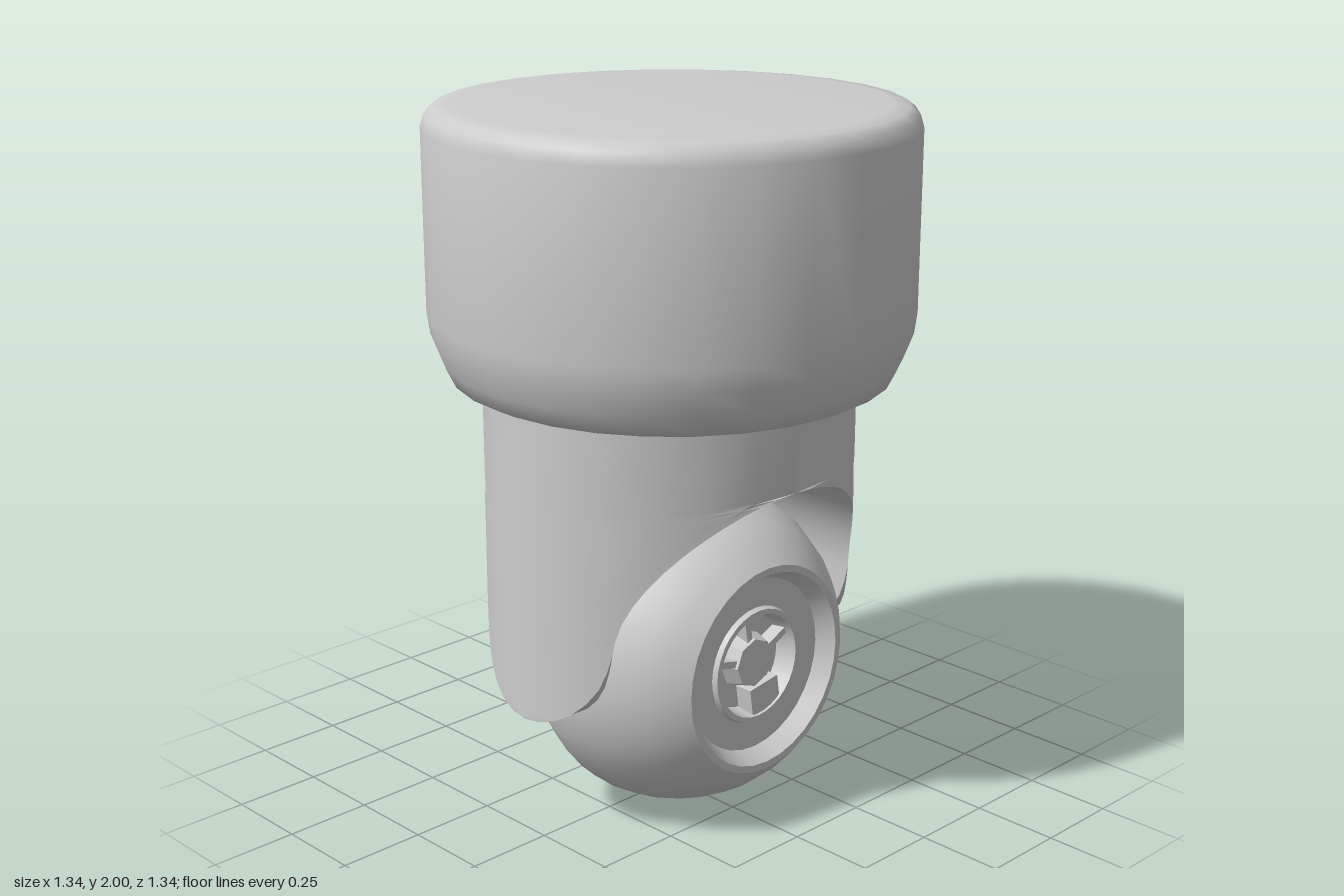
import * as THREE from 'three';
import { toCreasedNormals } from 'three/addons/utils/BufferGeometryUtils.js';

const grey = new THREE.MeshStandardMaterial({ color: 0xcccccc });
grey.name = 'plain grey';

function add(parent, name, geometry) {
  const mesh = new THREE.Mesh(geometry, grey);
  mesh.name = name;
  parent.add(mesh);
  return mesh;
}

function lathe(points, segments, crease) {
  const profile = points.map(([r, y]) => new THREE.Vector2(r, y));
  return toCreasedNormals(new THREE.LatheGeometry(profile, segments), crease);
}

// Half of an elliptic column with an arch cut through it, leaving one rounded arm
function yokeHalfGeometry() {
  const RX = 0.56, RZ = 0.47, INNER = 0.47, SPRING = 0.6, RISE = 0.41, N = 12;
  const levels = [];
  for (let i = 0; i <= 7; i++) levels.push(0.62 - 0.24 * Math.cos((i / 7) * Math.PI / 2));
  for (let i = 1; i <= 12; i++) levels.push(SPRING + RISE * Math.sin((i / 12) * Math.PI / 2));
  levels.push(1.26);
  levels.sort((a, b) => a - b);

  const positions = [], indices = [], ring = 2 * (N + 1);
  for (const y of levels) {
    const h = Math.min(Math.max((y - SPRING) / RISE, 0), 1);
    const inner = INNER * Math.sqrt(1 - h * h);
    const d = Math.min((y - 0.62) / 0.24, 0);
    const archWidth = RZ * Math.sqrt(1 - (inner / RX) ** 2);
    const zMax = y < 0.62 ? Math.min(archWidth, 0.25 * Math.sqrt(Math.max(1 - d * d, 0))) : archWidth;
    const zAt = (i) => zMax * Math.sin((i / N - 0.5) * Math.PI);
    for (let i = 0; i <= N; i++) {
      const z = zAt(i);
      positions.push(RX * Math.sqrt(Math.max(1 - (z / RZ) ** 2, 0)), y, z);
    }
    for (let i = N; i >= 0; i--) positions.push(inner, y, zAt(i));
  }
  for (let j = 0; j < levels.length - 1; j++) {
    for (let i = 0; i < ring; i++) {
      const a = j * ring + i, b = j * ring + ((i + 1) % ring);
      indices.push(a, a + ring, b, b, a + ring, b + ring);
    }
  }
  const geometry = new THREE.BufferGeometry();
  geometry.setAttribute('position', new THREE.Float32BufferAttribute(positions, 3));
  geometry.setIndex(indices);
  return toCreasedNormals(geometry, 0.6);
}

export function createModel() {
  const model = new THREE.Group();
  model.name = 'mountedCamera';

  // Round mounting base with softened rims
  add(model, 'mountBase', lathe([
    [0, 1.24], [0.57, 1.24], [0.61, 1.26], [0.635, 1.31], [0.662, 1.38], [0.67, 1.44],
    [0.67, 1.94], [0.66, 1.975], [0.635, 1.995], [0.59, 2], [0, 2],
  ], 28, 0.9));

  // Two arms meeting in an arch
  const yoke = new THREE.Group();
  yoke.name = 'yoke';
  model.add(yoke);
  const half = yokeHalfGeometry();
  add(yoke, 'leftArm', half);
  add(yoke, 'rightArm', half).rotation.y = Math.PI;

  // Ball head facing +z; its parts are built around the z axis
  const head = new THREE.Group();
  head.name = 'ballHead';
  head.position.y = 0.472;
  model.add(head);
  const shell = lathe([
    [0, -0.375], [0.1, -0.368], [0.2, -0.335], [0.29, -0.28], [0.37, -0.205], [0.43, -0.11],
    [0.462, -0.03], [0.47, 0.03], [0.462, 0.11], [0.435, 0.2], [0.39, 0.285], [0.345, 0.34],
    [0.3, 0.38], [0.28, 0.38], [0.25, 0.33], [0.17, 0.33], [0.165, 0.345], [0.15, 0.345],
    [0.14, 0.28], [0, 0.28],
  ], 32, 0.6);
  add(head, 'ballShell', shell.rotateX(Math.PI / 2));

  // Lens core with fins inside the recess
  const core = new THREE.CylinderGeometry(0.07, 0.085, 0.05, 8);
  add(head, 'lensCore', toCreasedNormals(core.rotateX(Math.PI / 2), 0.5)).position.set(0, 0.005, 0.305);
  for (const angle of [0.45, 1.75, 2.9]) {
    const fin = add(head, 'lensFin', new THREE.BoxGeometry(0.08, 0.02, 0.045));
    fin.position.set(0.105 * Math.cos(angle), 0.105 * Math.sin(angle), 0.3);
    fin.rotation.z = angle;
  }
  const tab = add(head, 'lensTab', new THREE.BoxGeometry(0.11, 0.085, 0.055));
  tab.position.set(0.035, -0.105, 0.31);
  tab.rotation.z = 0.15;

  return model;
}
